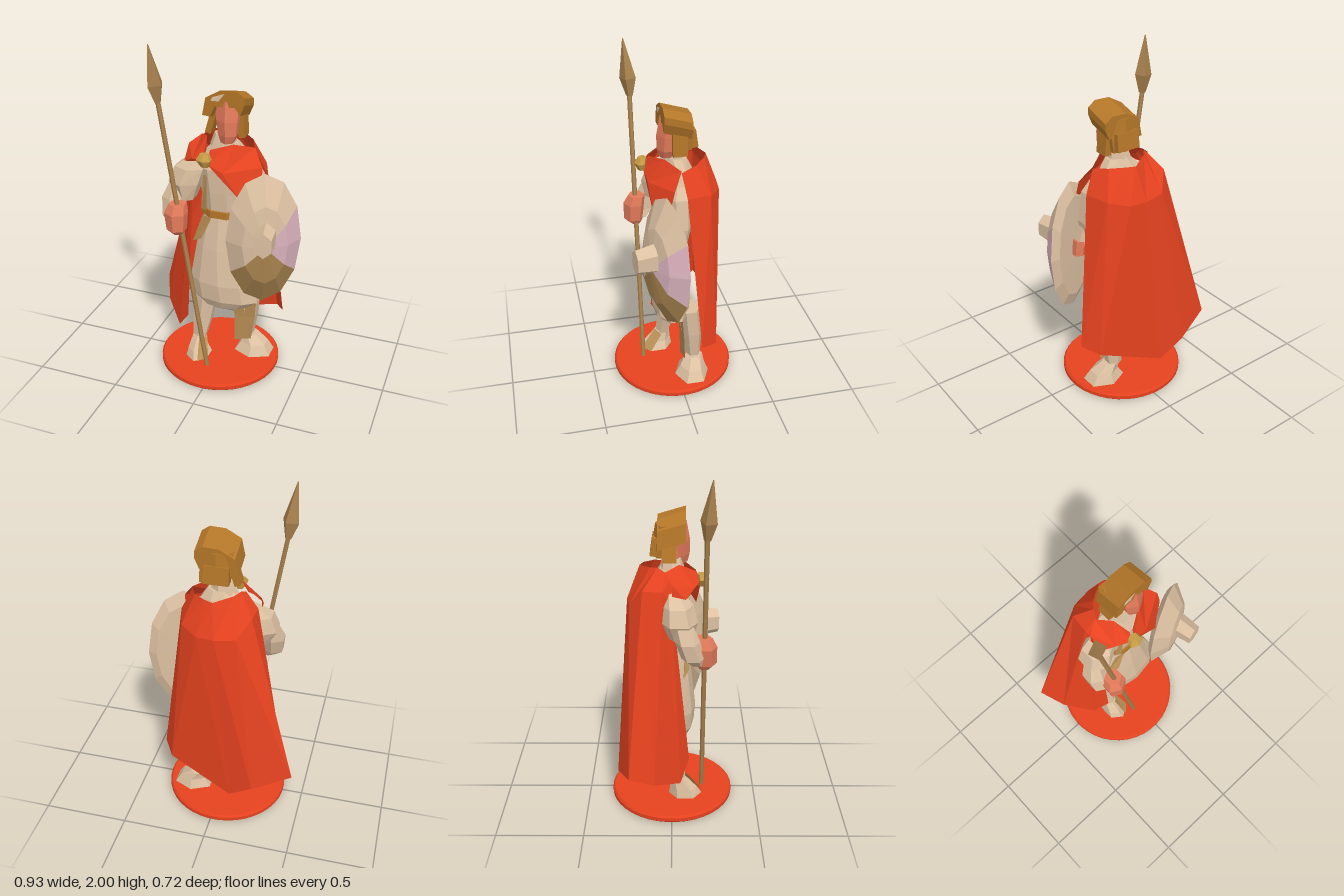
import * as THREE from 'three';

const mat = (name, color, side = THREE.FrontSide) => new THREE.MeshStandardMaterial({ name, color, side });

export function createModel() {
  const model = new THREE.Group();
  model.name = 'spearman';
  const red = mat('cloakRed', 0xe6421f, THREE.DoubleSide);
  const cream = mat('linenCream', 0xdcc0a1, THREE.DoubleSide);
  const skin = mat('skin', 0xe27a5a);
  const gold = mat('helmetBronze', 0xb37628);
  const brooch = mat('broochGold', 0xc49a45);
  const tan = mat('greaveTan', 0xbb9156, THREE.DoubleSide);
  const wood = mat('spearWood', 0xa8814d);
  const mauve = mat('shieldMauve', 0xdab2bd);
  const brown = mat('shieldBrown', 0xab8650);

  function add(name, geometry, material, parent = model) {
    const geo = geometry.index ? geometry.toNonIndexed() : geometry;
    geo.computeVertexNormals(); // unshared corners give flat facets
    const mesh = new THREE.Mesh(geo, material);
    mesh.name = name;
    parent.add(mesh);
    return mesh;
  }

  function fromTriangles(points) {
    const geo = new THREE.BufferGeometry();
    geo.setAttribute('position', new THREE.Float32BufferAttribute(points.flat(), 3));
    return geo;
  }

  // Closed body through level polygon sections [x, y, z, halfWidth, halfDepth]
  function loft(name, sections, material, n = 8) {
    const s = [...sections].sort((a, b) => a[1] - b[1]);
    const k = 1 / Math.cos(Math.PI / n);
    const at = ([x, y, z, rx, rz], i) => {
      const a = ((i + 0.5) / n) * Math.PI * 2;
      return [x + Math.cos(a) * rx * k, y, z + Math.sin(a) * rz * k];
    };
    const t = [];
    const top = s[s.length - 1];
    for (let i = 0; i < n; i++) {
      for (let j = 0; j < s.length - 1; j++) {
        const a = at(s[j], i), b = at(s[j], i + 1), c = at(s[j + 1], i), d = at(s[j + 1], i + 1);
        t.push(a, c, b, b, c, d);
      }
      t.push(s[0].slice(0, 3), at(s[0], i), at(s[0], i + 1));
      t.push(top.slice(0, 3), at(top, i + 1), at(top, i));
    }
    return add(name, fromTriangles(t), material);
  }

  // Open sheet through rows of points
  function sheet(name, rows, material) {
    const t = [];
    for (let j = 0; j < rows.length - 1; j++) {
      for (let i = 0; i < rows[j].length - 1; i++) {
        const a = rows[j][i], b = rows[j][i + 1], c = rows[j + 1][i], d = rows[j + 1][i + 1];
        t.push(a, c, b, b, c, d);
      }
    }
    return add(name, fromTriangles(t), material);
  }

  function box(name, w, h, d, x, y, z, material) {
    const mesh = add(name, new THREE.BoxGeometry(w, h, d), material);
    mesh.position.set(x, y, z);
    return mesh;
  }

  // Round base with a bevelled rim
  const B = -0.02;
  loft('base', [[B, 0, 0, 0.352, 0.352], [B, 0.008, 0, 0.36, 0.36],
    [B, 0.03, 0, 0.36, 0.36], [B, 0.042, 0, 0.35, 0.35]], red, 40);

  // Legs and feet
  loft('rightLeg', [[-0.1, 0.5, 0, 0.07, 0.06], [-0.125, 0.28, 0.01, 0.055, 0.055], [-0.14, 0.14, 0.04, 0.036, 0.035]], cream, 6);
  loft('rightFoot', [[-0.14, 0.16, 0.04, 0.035, 0.04], [-0.14, 0.09, 0.07, 0.048, 0.07], [-0.13, 0.04, 0.08, 0.066, 0.085]], cream, 6);
  sheet('rightFootPlate', [
    [[-0.125, 0.17, 0.09], [-0.085, 0.15, 0.055]],
    [[-0.105, 0.05, 0.178], [-0.055, 0.05, 0.125]],
  ], tan);
  loft('leftLeg', [[0.13, 0.5, -0.07, 0.07, 0.055], [0.125, 0.32, -0.09, 0.062, 0.055], [0.115, 0.14, -0.1, 0.045, 0.04]], cream, 6);
  loft('leftFoot', [[0.14, 0.15, -0.1, 0.045, 0.045], [0.175, 0.1, -0.085, 0.075, 0.065], [0.175, 0.04, -0.08, 0.112, 0.09]], cream, 6);
  sheet('leftGreave', [
    [[0.06, 0.46, -0.012], [0.205, 0.46, -0.015]],
    [[0.06, 0.3, -0.028], [0.19, 0.3, -0.03]],
    [[0.06, 0.11, -0.035], [0.165, 0.14, -0.04]],
  ], tan);

  // Tunic, belt and neck
  loft('skirt', [[0, 1.01, 0, 0.105, 0.075], [0, 0.8, 0.01, 0.15, 0.098], [0.015, 0.58, 0.02, 0.2, 0.112],
    [0.03, 0.47, 0.025, 0.2, 0.1], [0.02, 0.415, 0.02, 0.14, 0.08]], cream, 10);
  loft('torso', [[0.02, 1.44, -0.01, 0.065, 0.055], [0.01, 1.38, -0.02, 0.115, 0.075], [0, 1.29, 0, 0.155, 0.09],
    [0, 1.15, 0, 0.12, 0.085], [0, 1, 0, 0.105, 0.073]], cream, 8);
  loft('collar', [[0.01, 1.49, 0, 0.055, 0.05], [0, 1.42, 0, 0.07, 0.065]], cream, 7);
  loft('belt', [[0, 1.04, 0, 0.118, 0.088], [0, 1, 0, 0.12, 0.09]], gold, 8);
  sheet('tunicSidePanel', [
    [[-0.085, 1.26, 0.095], [-0.065, 1.26, 0.097]],
    [[-0.11, 1.04, 0.07], [-0.068, 1.04, 0.092]],
  ], tan);
  sheet('tunicLowerPanel', [
    [[-0.1, 1, 0.075], [-0.04, 1, 0.085]],
    [[-0.165, 0.82, 0.065], [-0.1, 0.86, 0.1]],
  ], tan);

  // Head
  loft('head', [[0.04, 1.69, 0.01, 0.064, 0.06], [0.042, 1.58, 0.03, 0.06, 0.06],
    [0.045, 1.5, 0.04, 0.05, 0.05], [0.04, 1.455, 0.045, 0.032, 0.035]], skin, 6);
  loft('neck', [[0.03, 1.54, 0.005, 0.045, 0.045], [0.015, 1.44, 0, 0.05, 0.045]], skin, 6);

  // Helmet: arched hood leaning back, with cheek and neck guards
  const hood = new THREE.Shape([
    [-0.095, 1.58], [-0.05, 1.575], [-0.025, 1.635], [0.09, 1.64], [0.12, 1.6], [0.145, 1.66],
    [0.145, 1.7], [0.1, 1.732], [0.01, 1.728], [-0.075, 1.68],
  ].map(([x, y]) => new THREE.Vector2(x, y)));
  const hoodGeo = new THREE.ExtrudeGeometry(hood, { depth: 0.155, bevelEnabled: false });
  hoodGeo.translate(0, 0, -0.08);
  const hp = hoodGeo.attributes.position;
  for (let i = 0; i < hp.count; i++) hp.setY(i, hp.getY(i) + hp.getZ(i) * 0.3);
  add('helmetHood', hoodGeo, gold);
  sheet('helmetFrontPlate', [
    [[-0.035, 1.71, 0.077], [0.035, 1.735, 0.077]],
    [[-0.045, 1.69, 0.08], [0.0, 1.69, 0.08]],
  ], cream);
  loft('helmetBack', [[0.025, 1.68, -0.04, 0.085, 0.045], [0.025, 1.58, -0.055, 0.08, 0.045], [0.025, 1.5, -0.065, 0.07, 0.033]], gold, 6);
  box('neckGuard', 0.14, 0.1, 0.04, 0.02, 1.56, -0.095, gold).rotation.x = 0.15;
  for (const [name, x, tilt] of [['rightCheekGuard', -0.062, -0.28], ['leftCheekGuard', 0.108, 0.06]]) {
    box(name, 0.034, 0.16, 0.08, x, 1.56, -0.015, gold).rotation.z = tilt;
  }

  // Cloak: collar, shoulders and hem, swept from the left side round the back
  sheet('cloak', [
    [[0.18, 1.41, -0.01], [0.14, 1.43, -0.1], [0.07, 1.44, -0.16], [0.02, 1.44, -0.18],
      [-0.08, 1.46, -0.12], [-0.11, 1.47, -0.08], [-0.13, 1.45, -0.04], [-0.12, 1.42, 0]],
    [[0.24, 1.28, -0.03], [0.2, 1.27, -0.17], [0.1, 1.25, -0.24], [0.0, 1.25, -0.252],
      [-0.12, 1.26, -0.235], [-0.19, 1.36, -0.16], [-0.2, 1.36, -0.05], [-0.18, 1.3, 0]],
    [[0.345, 0.35, -0.1], [0.28, 0.32, -0.2], [-0.1, 0.17, -0.285], [-0.24, 0.27, -0.312],
      [-0.465, 0.35, -0.24], [-0.4, 0.27, -0.1], [-0.27, 0.2, 0.05], [-0.19, 0.32, 0.1]],
  ], red);
  sheet('leftCloakFlap', [
    [[-0.03, 1.43, 0.13], [0.08, 1.45, 0.06], [0.18, 1.42, -0.01]],
    [[-0.04, 1.36, 0.16], [0.05, 1.31, 0.15], [0.24, 1.33, 0.04]],
    [[-0.04, 1.36, 0.16], [0.14, 1.17, 0.14], [0.245, 1.25, 0.06]],
  ], red);
  sheet('rightCloakFlap', [
    [[-0.05, 1.43, 0.13], [-0.08, 1.475, 0.04], [-0.14, 1.45, -0.04]],
    [[-0.06, 1.38, 0.16], [-0.14, 1.36, 0.12], [-0.205, 1.4, 0]],
    [[-0.06, 1.37, 0.16], [-0.205, 1.32, 0.075], [-0.21, 1.34, 0]],
  ], red);
  loft('brooch', [[-0.05, 1.415, 0.16, 0.025, 0.02], [-0.05, 1.385, 0.172, 0.04, 0.03], [-0.045, 1.345, 0.165, 0.02, 0.02]], brooch, 6);

  // Right arm and the hand gripping the spear
  loft('rightSleeve', [[-0.13, 1.34, 0.01, 0.05, 0.045], [-0.18, 1.28, 0.03, 0.085, 0.075], [-0.21, 1.19, 0.04, 0.088, 0.088], [-0.2, 1.09, 0.05, 0.045, 0.06]], cream, 6);
  loft('rightForearm', [[-0.25, 1.18, 0.06, 0.045, 0.05], [-0.265, 1.1, 0.085, 0.062, 0.06], [-0.26, 1, 0.115, 0.056, 0.055], [-0.23, 0.95, 0.14, 0.035, 0.035]], cream, 6);
  loft('rightHand', [[-0.21, 1.1, 0.17, 0.045, 0.045], [-0.215, 1.05, 0.185, 0.06, 0.055], [-0.21, 0.95, 0.19, 0.05, 0.05], [-0.21, 0.92, 0.18, 0.03, 0.03]], skin, 6);

  // Left arm behind the shield
  loft('leftSleeve', [[0.15, 1.33, -0.01, 0.04, 0.045], [0.18, 1.27, 0, 0.052, 0.055], [0.205, 1.1, 0, 0.052, 0.055], [0.2, 1.0, 0.01, 0.04, 0.045]], cream, 6);
  loft('leftForearm', [[0.205, 1.07, 0.015, 0.045, 0.045], [0.24, 0.95, 0.03, 0.04, 0.045]], cream, 6);
  loft('leftHand', [[0.25, 0.98, 0.03, 0.035, 0.04], [0.26, 0.89, 0.03, 0.035, 0.035]], skin, 6);

  // Spear
  loft('spearShaft', [[-0.04, 0.042, 0.18, 0.012, 0.012], [-0.305, 1.69, 0.18, 0.012, 0.012]], wood, 6);
  const head = loft('spearHead', [[0, 0.32, 0.01, 0.002, 0.002], [0, 0.1, 0.002, 0.037, 0.032], [0, 0, 0, 0.014, 0.014]], wood, 4);
  head.position.set(-0.303, 1.68, 0.18);
  head.rotation.set(0, 0.35, 0.13);

  // Oval shield, domed in front and bulging behind, painted in three sectors
  const shield = new THREE.Group();
  shield.name = 'shield';
  shield.position.set(0.27, 0.92, 0.09);
  shield.rotation.y = 0.43;
  model.add(shield);
  const ring = (i, s, z) => {
    const a = (i * Math.PI) / 6;
    return [0.212 * s * Math.cos(a), 0.4 * s * Math.sin(a), z];
  };
  const sector = (name, from, to, material) => {
    const t = [];
    for (let i = from; i < to; i++) {
      const a = ring(i, 1, 0), b = ring(i + 1, 1, 0), c = ring(i, 0.6, 0.08), d = ring(i + 1, 0.6, 0.08);
      t.push(a, b, c, c, b, d, c, d, [0, 0, 0.11]);
    }
    add(name, fromTriangles(t), material, shield);
  };
  sector('shieldSideFace', -1, 1, mauve);
  sector('shieldTopFace', 1, 7, cream);
  sector('shieldLowerFace', 7, 11, brown);
  const back = [];
  for (let i = 0; i < 12; i++) {
    const a = ring(i, 1, 0), b = ring(i + 1, 1, 0), c = ring(i, 0.8, -0.03), d = ring(i + 1, 0.8, -0.03);
    back.push(a, c, b, b, c, d, c, [0, 0, -0.035], d);
  }
  add('shieldBack', fromTriangles(back), cream, shield);
  const bossGeo = new THREE.CylinderGeometry(0.052, 0.064, 0.11, 6);
  bossGeo.rotateX(Math.PI / 2).scale(1, 1.45, 1);
  const boss = add('shieldBoss', bossGeo, cream, shield);
  boss.position.set(-0.012, 0.06, 0.14);
  boss.rotation.y = -0.25;

  return model;
}
